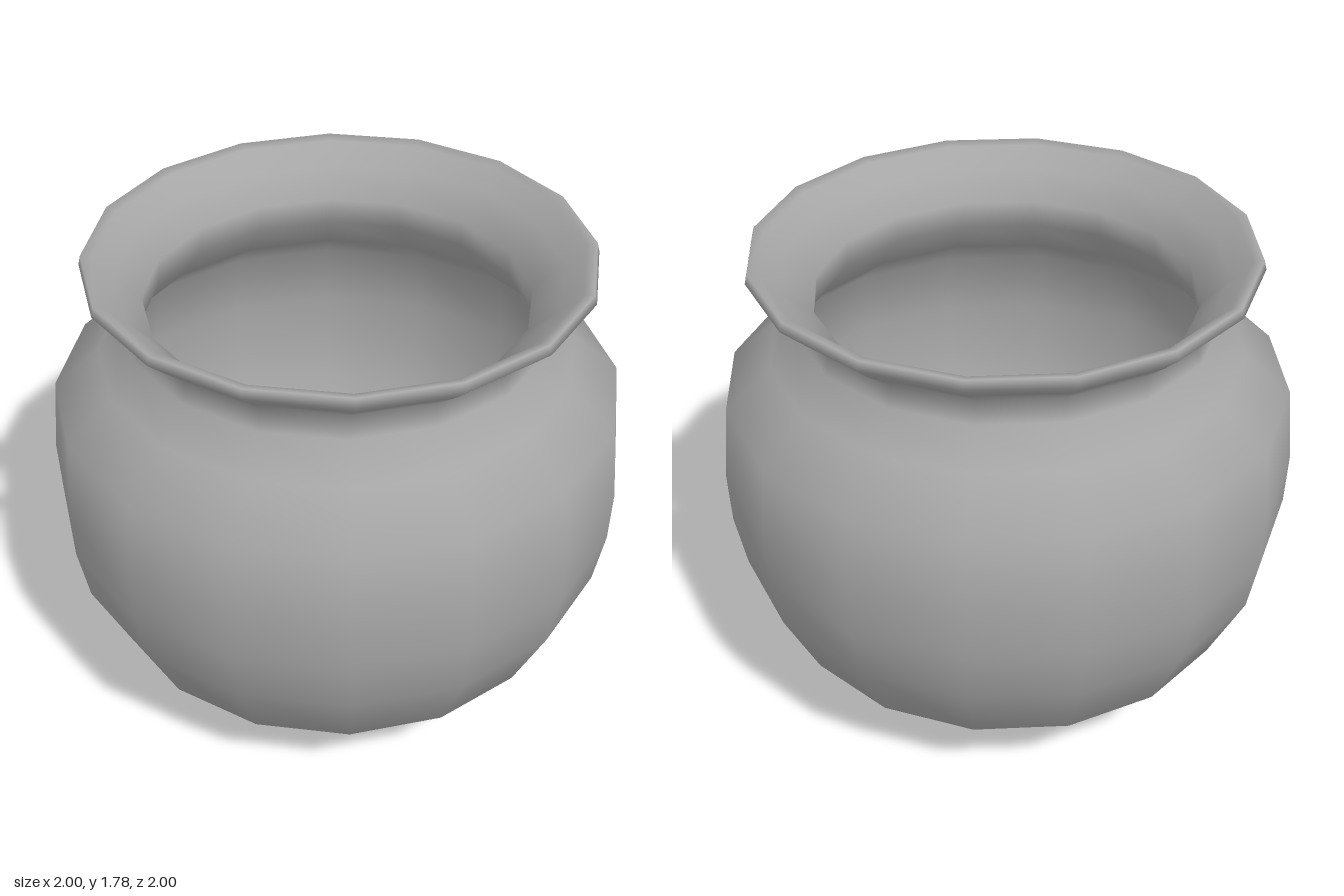
import * as THREE from 'three';

const SIDES = 16;
const FLAT = Math.cos(Math.PI / SIDES); // profile radii are measured to the flat sides

export function createModel() {
  const group = new THREE.Group();
  group.name = 'pot';
  const clay = new THREE.MeshStandardMaterial({ color: 0xa6a6a6 });
  clay.name = 'grey clay';

  // Cross-section: up the outside, over the lip, down the inside
  const outside = [
    [0, 0], [0.19, 0.003], [0.625, 0.145], [0.83, 0.34], [0.957, 0.61], [0.993, 0.81],
    [1, 1], [0.975, 1.27], [0.815, 1.41], [0.72, 1.53], [0.705, 1.61], [0.8, 1.69],
  ];
  const lip = [[0.86, 1.747], [0.852, 1.78], [0.815, 1.77]];
  const inside = [
    [0.75, 1.7], [0.655, 1.61], [0.665, 1.51], [0.77, 1.37], [0.92, 1.24], [0.945, 1],
    [0.938, 0.82], [0.905, 0.63], [0.785, 0.38], [0.59, 0.2], [0.18, 0.06], [0, 0.055],
  ];
  const profile = [...outside, ...lip, ...inside].map(([r, y]) => new THREE.Vector2(r / FLAT, y));
  const geometry = new THREE.LatheGeometry(profile, SIDES, Math.PI / SIDES);

  // The hand-made rim sits slightly off centre
  const pos = geometry.attributes.position;
  for (let i = 0; i < pos.count; i++) {
    if (pos.getY(i) > 1.65) {
      pos.setX(i, pos.getX(i) + 0.008);
      pos.setZ(i, pos.getZ(i) + 0.004);
    }
  }

  const pot = new THREE.Mesh(geometry, clay);
  pot.name = 'potBodyAndRim';
  group.add(pot);
  return group;
}
